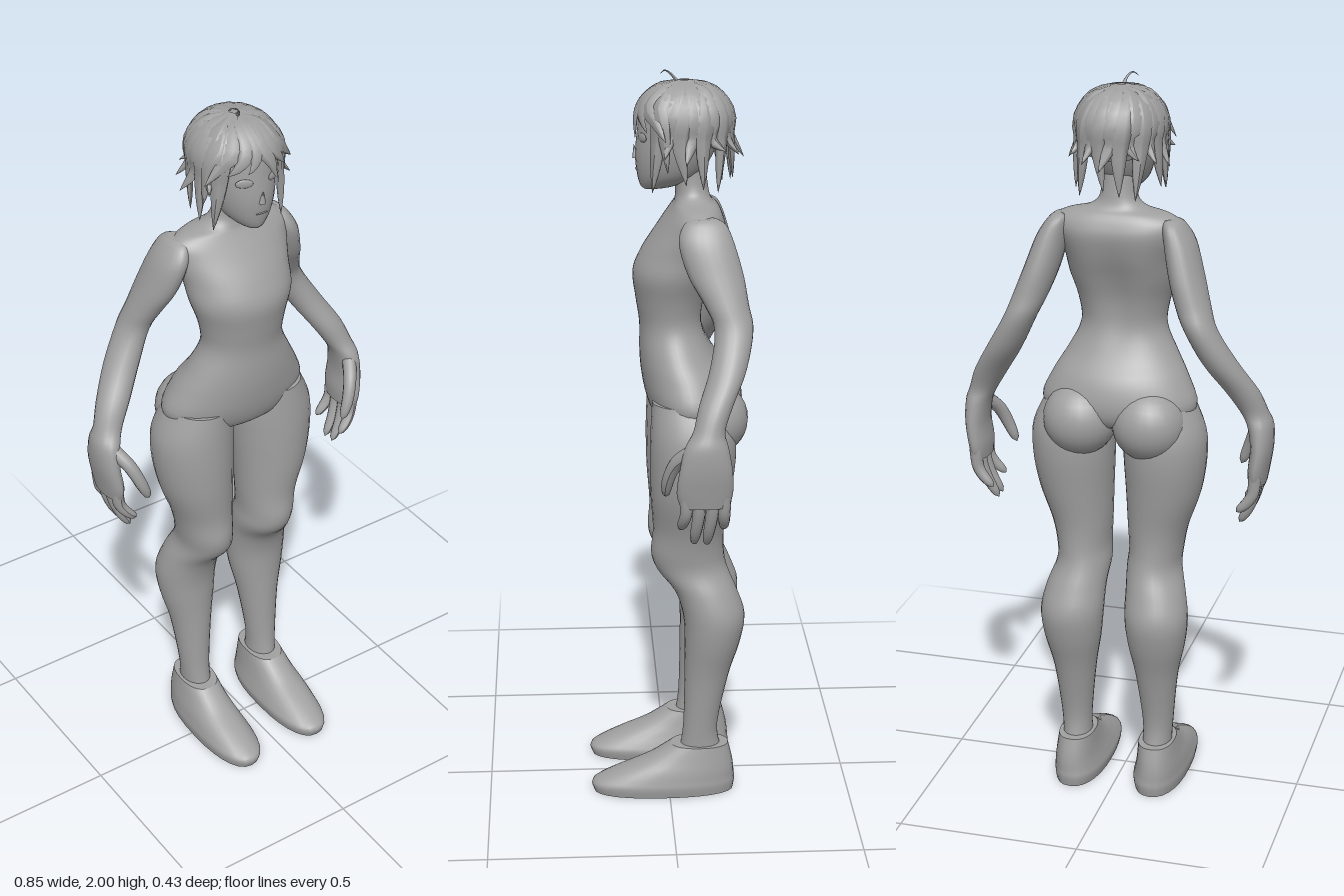
import * as THREE from 'three';

const clay = new THREE.MeshStandardMaterial({ color: 0xa0a0a0, side: THREE.DoubleSide });
clay.name = 'clay grey';

// uniform Catmull-Rom between b and c
const spline = (a, b, c, d, t) => b + 0.5 * t * (c - a + t * (2 * a - 5 * b + 4 * c - d + t * (3 * (b - c) + d - a)));

// Lofts level oval rings; each row is [y, xMin, xMax, zBack, zFront], bottom to top
function loft(rows, { seg = 28, sub = 4, power = 1, groove = () => 0 } = {}) {
  const rings = [], pos = [], index = [];
  for (let i = 0; i < rows.length - 1; i++) {
    const r = k => rows[Math.min(Math.max(k, 0), rows.length - 1)];
    for (let s = 0; s < sub; s++)
      rings.push(rows[i].map((_, c) => spline(r(i - 1)[c], r(i)[c], r(i + 1)[c], r(i + 2)[c], s / sub)));
  }
  rings.push(rows[rows.length - 1]);
  const bend = v => Math.sign(v) * Math.abs(v) ** power;
  const addRing = ([y, x0, x1, z0, z1]) => {
    for (let j = 0; j < seg; j++) {
      const a = j / seg * Math.PI * 2, s = Math.sin(a);
      pos.push((x0 + x1) / 2 + bend(Math.cos(a)) * (x1 - x0) / 2, y,
        (z0 + z1) / 2 + bend(s) * (z1 - z0) / 2 + groove(y) * Math.max(0, -s) ** 14);
    }
  };
  rings.forEach(addRing);
  for (let i = 0; i < rings.length - 1; i++) for (let j = 0; j < seg; j++) {
    const a = i * seg + j, b = i * seg + (j + 1) % seg;
    index.push(a, a + seg, b, b, a + seg, b + seg);
  }
  // end caps with their own corners
  [rings[0], rings[rings.length - 1]].forEach((ring, top) => {
    const start = pos.length / 3;
    addRing(ring);
    pos.push((ring[1] + ring[2]) / 2, ring[0], (ring[3] + ring[4]) / 2);
    for (let j = 0; j < seg; j++) {
      const a = start + j, b = start + (j + 1) % seg;
      index.push(start + seg, top ? b : a, top ? a : b);
    }
  });
  const g = new THREE.BufferGeometry();
  g.setAttribute('position', new THREE.Float32BufferAttribute(pos, 3));
  g.setIndex(index);
  g.computeVertexNormals();
  return g;
}

// Tube whose radius follows a rule; flat squeezes it towards the given centre
function taper(points, radius, { steps = 14, sides = 8, flat = 0, centre } = {}) {
  const curve = new THREE.CatmullRomCurve3(points.map(p => new THREE.Vector3(...p)));
  const g = new THREE.TubeGeometry(curve, steps, 1, sides);
  const p = g.attributes.position, v = new THREE.Vector3();
  for (let i = 0; i < p.count; i++) {
    const u = Math.floor(i / (sides + 1)) / steps, c = curve.getPointAt(u);
    v.fromBufferAttribute(p, i).sub(c).multiplyScalar(radius(u));
    if (flat) {
      const out = c.clone().sub(centre).normalize();
      v.addScaledVector(out, -flat * v.dot(out));
    }
    p.setXYZ(i, v.x + c.x, v.y + c.y, v.z + c.z);
  }
  g.computeVertexNormals();
  return g;
}

const sym = rows => rows.map(([y, w, b, f]) => [y, -w, w, b, f]);
const mirror = (rows, s) => s > 0 ? rows : rows.map(([y, a, b, ...z]) => [y, -b, -a, ...z]);

const TORSO = sym([
  [1.06, 0.08, -0.10, 0.0], [1.08, 0.17, -0.16, 0.035], [1.13, 0.212, -0.18, 0.057], [1.2, 0.185, -0.165, 0.07],
  [1.26, 0.15, -0.125, 0.074], [1.33, 0.117, -0.1, 0.074], [1.4, 0.124, -0.107, 0.084], [1.47, 0.145, -0.13, 0.091],
  [1.53, 0.152, -0.15, 0.066], [1.59, 0.168, -0.16, 0.025], [1.625, 0.172, -0.15, 0.0], [1.648, 0.14, -0.135, -0.015],
  [1.662, 0.08, -0.12, -0.02], [1.69, 0.05, -0.11, -0.022], [1.76, 0.045, -0.1, -0.015]]);
const HEAD = sym([
  [1.69, 0.015, 0.02, 0.06], [1.7, 0.036, -0.03, 0.07], [1.73, 0.064, -0.085, 0.078], [1.78, 0.082, -0.12, 0.083],
  [1.84, 0.09, -0.14, 0.078], [1.9, 0.086, -0.14, 0.068], [1.945, 0.06, -0.11, 0.035], [1.962, 0.02, -0.07, -0.01]]);
const LEG = [
  [0.12, 0.075, 0.155, -0.145, -0.03], [0.2, 0.075, 0.16, -0.135, -0.04], [0.35, 0.058, 0.176, -0.165, -0.043],
  [0.45, 0.04, 0.198, -0.195, -0.043], [0.53, 0.032, 0.206, -0.207, -0.038], [0.6, 0.03, 0.193, -0.185, -0.015],
  [0.66, 0.025, 0.174, -0.16, 0.033], [0.71, 0.028, 0.176, -0.15, 0.048], [0.78, 0.024, 0.19, -0.15, 0.043],
  [0.88, 0.02, 0.224, -0.165, 0.05], [0.98, 0.015, 0.24, -0.178, 0.052], [1.06, 0.015, 0.236, -0.175, 0.05],
  [1.14, 0.03, 0.2, -0.15, 0.045]];
const SHOE = [
  [0, 0.045, 0.186, -0.18, 0.21], [0.025, 0.04, 0.19, -0.184, 0.215], [0.045, 0.045, 0.187, -0.182, 0.185],
  [0.07, 0.053, 0.182, -0.18, 0.13], [0.1, 0.06, 0.174, -0.175, 0.06], [0.14, 0.066, 0.165, -0.165, -0.005]];
const ARM = [
  [0.94, 0.362, 0.408, -0.14, -0.015], [0.98, 0.36, 0.415, -0.15, -0.005], [1.04, 0.365, 0.424, -0.148, -0.012],
  [1.1, 0.355, 0.424, -0.138, -0.025], [1.14, 0.335, 0.411, -0.13, -0.048], [1.2, 0.297, 0.388, -0.152, -0.065],
  [1.28, 0.245, 0.34, -0.19, -0.095], [1.37, 0.2, 0.287, -0.21, -0.11], [1.43, 0.172, 0.264, -0.2, -0.085],
  [1.5, 0.148, 0.24, -0.188, -0.045], [1.58, 0.13, 0.212, -0.165, -0.022], [1.625, 0.125, 0.183, -0.145, -0.035],
  [1.64, 0.13, 0.165, -0.12, -0.06]];

export function createModel() {
  const model = new THREE.Group();
  model.name = 'mannequin';
  const add = (name, geometry, parent = model) => {
    const m = new THREE.Mesh(geometry, clay);
    m.name = name;
    parent.add(m);
    return m;
  };
  const oval = (name, at, size, parent) => {
    const m = add(name, new THREE.SphereGeometry(1, 24, 16), parent);
    m.position.set(...at);
    m.scale.set(...size);
    return m;
  };

  // torso with a shallow spine groove, and head
  add('torso', loft(TORSO, {
    seg: 48, groove: y => 0.022 * Math.exp(-(((y - 1.45) / 0.14) ** 2)),
  }));
  add('head', loft(HEAD, { seg: 32 }));
  const nose = add('nose', new THREE.ConeGeometry(0.011, 0.035, 8));
  nose.position.set(0, 1.79, 0.083);
  nose.rotation.x = 0.2;
  oval('mouth', [0, 1.742, 0.079], [0.017, 0.002, 0.004]);

  for (const s of [1, -1]) {
    const side = s > 0 ? 'left' : 'right';
    add(side + 'Leg', loft(mirror(LEG, s)));
    add(side + 'Shoe', loft(mirror(SHOE, s), { power: 0.85 }));
    oval(side + 'Hip', [s * 0.095, 1.085, -0.115], [0.1, 0.1, 0.097]);
    add(side + 'Arm', loft(mirror(ARM, s), { seg: 20 }));
    oval(side + 'Ear', [s * 0.092, 1.81, -0.035], [0.012, 0.03, 0.02]);
    oval(side + 'Eye', [s * 0.044, 1.832, 0.066], [0.023, 0.012, 0.004]).rotation.y = s * 0.42;

    // fingers fan out and curl inwards
    const finger = (name, pts, r) => add(name, taper(pts.map(([x, y, z]) => [s * x, y, z]),
      u => r * (1 - 0.25 * u) * Math.sqrt(Math.max(0, 1 - u ** 8)), { sides: 10 }));
    [[-0.03, -0.018, 0.865], [-0.063, -0.052, 0.82], [-0.097, -0.085, 0.818], [-0.128, -0.13, 0.865]]
      .forEach(([z0, z1, tip], i) => finger(side + 'Finger' + (i + 1),
        [[0.387, 0.97, z0], [0.382, 0.92, z0], [0.366, (0.92 + tip) / 2, (z0 + z1) / 2], [0.338, tip, z1]], 0.018));
    finger(side + 'Thumb', [[0.385, 1.09, -0.045], [0.36, 1.05, -0.005], [0.34, 1.0, 0.014], [0.318, 0.945, 0.02]], 0.02);
  }

  // hair: a tilted cap covered by tapering locks
  const hair = new THREE.Group();
  hair.name = 'hair';
  model.add(hair);
  const cap = add('hairCap', new THREE.SphereGeometry(1, 32, 16, 0, Math.PI * 2, 0, Math.PI * 0.55), hair);
  cap.scale.set(0.114, 0.112, 0.125);
  cap.position.set(0, 1.858, -0.045);
  cap.rotation.x = -0.4;

  const centre = new THREE.Vector3(0, 1.86, -0.045);
  const onHead = (a, t, k = 1) => [
    0.119 * k * Math.sin(t) * Math.sin(a), 1.86 + 0.112 * k * Math.cos(t), -0.045 + 0.13 * k * Math.sin(t) * Math.cos(a)];
  const lock = (name, pts, width) => add(name, taper(pts,
    u => width * Math.min(1, 0.3 + 2.5 * u) * (1 - u ** 3) + 0.0005, { sides: 6, flat: 0.68, centre }), hair);

  // side and back locks, longer and shorter in turn, flicking outwards
  for (let i = 0; i < 19; i++) {
    const a = 0.95 + i / 18 * (Math.PI * 2 - 1.9);
    const end = onHead(a + (i % 3 - 1) * 0.13, Math.PI / 2, i % 2 ? 1.2 : 0.98);
    end[1] = i % 2 ? 1.775 + 0.015 * (i % 3) : 1.695 + 0.012 * (i % 3);
    const low = onHead(a, 1.85, 0.99);
    lock('hairLock', [onHead(a, 0.08), onHead(a + 0.12, 0.7), onHead(a + 0.06, 1.3), low, end], 0.03);
  }
  // fringe swept to both sides of the face
  for (const [a, sweep, tipY, k] of [
    [-0.95, -0.35, 1.76, 1.02], [-0.65, -0.5, 1.83, 1.2], [-0.35, -0.4, 1.86, 1.05], [-0.1, -0.25, 1.865, 1.05],
    [0.1, 0.25, 1.83, 1.06], [0.35, 0.4, 1.85, 1.05], [0.62, 0.6, 1.835, 1.22], [0.95, 0.25, 1.75, 1.02]]) {
    const end = onHead(a + sweep, Math.PI / 2, k);
    end[1] = tipY;
    lock('fringeLock', [onHead(a, 0.08), onHead(a, 0.65), onHead(a, 1.1, 1.02), onHead(a + sweep * 0.5, 1.4, 1.02), end], 0.027);
  }
  // loose curl on the crown
  add('crownCurl', taper([[0, 1.965, -0.03], [-0.008, 1.988, -0.01], [-0.018, 1.995, 0.005], [-0.03, 1.985, 0.015]],
    u => 0.005 * (1 - u) + 0.0005, { sides: 6 }), hair);

  return model;
}
